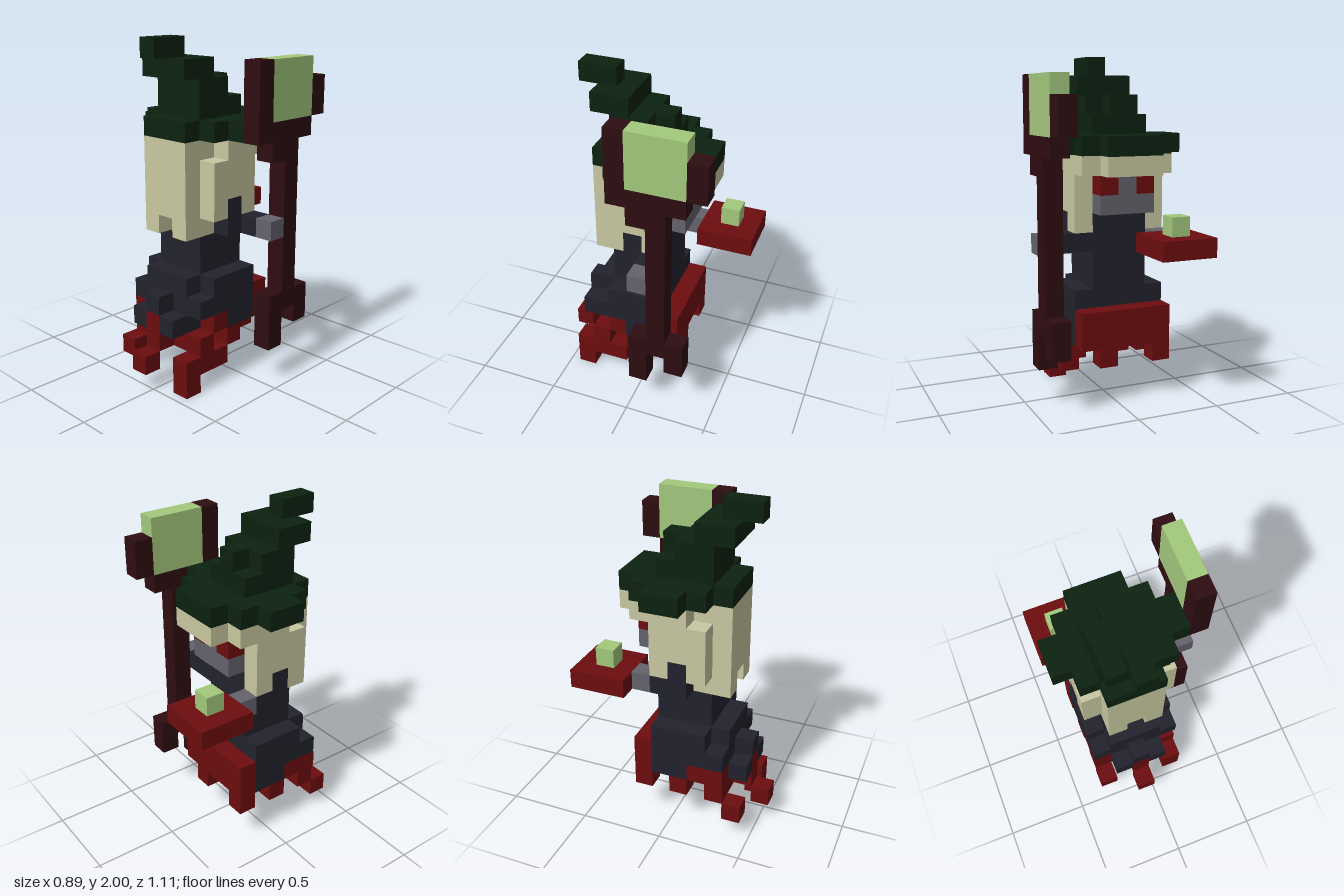
import * as THREE from 'three';
import { mergeGeometries } from 'three/addons/utils/BufferGeometryUtils.js';

const U = 1 / 9; // edge of one cube

const material = (name, color) => {
  const m = new THREE.MeshStandardMaterial({ color });
  m.name = name;
  return m;
};

// Each block is [x0, x1, y0, y1, z0, z1] in cube units.
function blocks(name, mat, list) {
  const parts = list.map(([x0, x1, y0, y1, z0, z1]) =>
    new THREE.BoxGeometry((x1 - x0) * U, (y1 - y0) * U, (z1 - z0) * U)
      .translate((x0 + x1) * U / 2, (y0 + y1) * U / 2, (z0 + z1) * U / 2));
  const mesh = new THREE.Mesh(mergeGeometries(parts), mat);
  mesh.name = name;
  return mesh;
}

// Mirror a block across the body's middle plane, x = -0.5.
const mirror = ([x0, x1, ...rest]) => [-1 - x1, -1 - x0, ...rest];
const both = (list) => list.concat(list.map(mirror));

export function createModel() {
  const hatGreen = material('hat green', 0x0c2210);
  const straw = material('straw hair', 0xc9c8a1);
  const navy = material('navy cloth', 0x22222d);
  const red = material('deep red', 0x6d0d0f);
  const wood = material('dark wood', 0x2e0d11);
  const grey = material('grey skin', 0x64626c);
  const glow = material('pale green', 0xa3c97d);
  const g = new THREE.Group();
  g.name = 'staffBearer';

  // Pointed hat, bending towards +z
  g.add(blocks('hatBrim', hatGreen, [
    [-4, 3, 13, 14, -1, 1],
    [-3, 2, 13, 14, -2, 2],
    [-2, 1, 13, 14, -3, 3],
  ]));
  g.add(blocks('hatCone', hatGreen, [
    [-2, 1, 14, 15, -1, 2],
    [-2, 1, 15, 16, 0, 2],
    [-1, 0, 15, 16, -1, 0],
    [-2, 1, 16, 17, 1, 3],
    [-1, 0, 17, 18, 2, 4],
  ]));

  // Hair: crown, fringe, long fall and side locks
  g.add(blocks('hairCrown', straw, [
    [-3, 2, 12, 13, -2, 1],
    [-2, 1, 12, 13, -3, -2],
    [-2, 1, 10, 13, -1, 2],
  ]));
  g.add(blocks('hairFall', straw, [
    [-2, 1, 9, 13, 2, 3],
    [-2, 1, 8, 10, 1, 2],
    ...both([[0, 1, 8, 9, 2, 3]]),
  ]));
  g.add(blocks('hairLocks', straw, both([
    [1, 2, 9, 12, 1, 2],
    [1, 2, 10, 12, 0, 1],
    [1, 2, 9, 12, -1, 0],
  ])));

  // Face
  g.add(blocks('face', grey, [[-2, 1, 10, 11, -2, -1], [-1, 0, 11, 12, -2, -1]]));
  g.add(blocks('eyes', red, both([[0, 1, 11, 12, -2, -1]])));

  // Robe
  g.add(blocks('torso', navy, [
    [-2, 1, 6, 8, -1, 2],
    [-2, 1, 8, 10, -1, 1],
  ]));
  g.add(blocks('shoulders', navy, both([[1, 2, 8, 10, 0, 1]])));
  g.add(blocks('arms', navy, [[1, 3, 8, 9, -1, 0], [-3, -2, 8, 9, -1, 0]]));
  g.add(blocks('hands', grey, [[3, 4, 8, 9, -1, 0], [-3, -2, 8, 9, -2, -1]]));
  g.add(blocks('skirt', navy, [
    [-3, 2, 5, 6, -1, 2],
    [-2, 1, 5, 6, 2, 3],
    [-3, 2, 4, 5, -1, 3],
    [-2, 1, 3, 4, -1, 3],
    [-1, 0, 4, 5, 3, 4],
    ...both([[0, 1, 3, 4, 3, 4], [1, 2, 3, 4, -1, 1]]),
  ]));

  // Ragged red hem and feet
  g.add(blocks('hem', red, [
    [-3, 2, 3, 5, -2, -1],
    [-3, -2, 2, 3, -2, -1],
    [0, 1, 2, 3, -2, -1],
    [-3, 2, 2, 3, 2, 3],
    [-3, -2, 3, 4, 2, 3],
    [-1, 0, 2, 4, 3, 4],
    ...both([[1, 2, 3, 4, 1, 2], [1, 2, 2, 3, 0, 1]]),
  ]));
  g.add(blocks('feet', red, [
    [1, 2, 0, 2, 3, 4],
    [1, 2, 1, 2, 1, 3],
    [-1, 0, 1, 2, 4, 5],
    [-3, -2, 1, 2, 3, 4],
  ]));

  // Staff with forked foot and a crystal in its head
  g.add(blocks('staff', wood, [
    [3, 4, 4, 12, -2, -1],
    [3, 4, 2, 5, -1, 0],
    [3, 4, 3, 5, -3, -2],
    [3, 4, 12, 13, -2, 0],
    [3, 4, 13, 14, -3, 1],
    [3, 4, 14, 17, 0, 1],
    [3, 4, 14, 16, -4, -3],
  ]));
  g.add(blocks('staffCrystal', glow, [[3, 4, 14, 17, -3, 0]]));

  // Book with a small glowing cube
  g.add(blocks('book', red, [[-4, -1, 8, 9, -5, -2]]));
  g.add(blocks('bookGlow', glow, [[-3, -2, 9, 10, -4, -3]]));
  return g;
}
